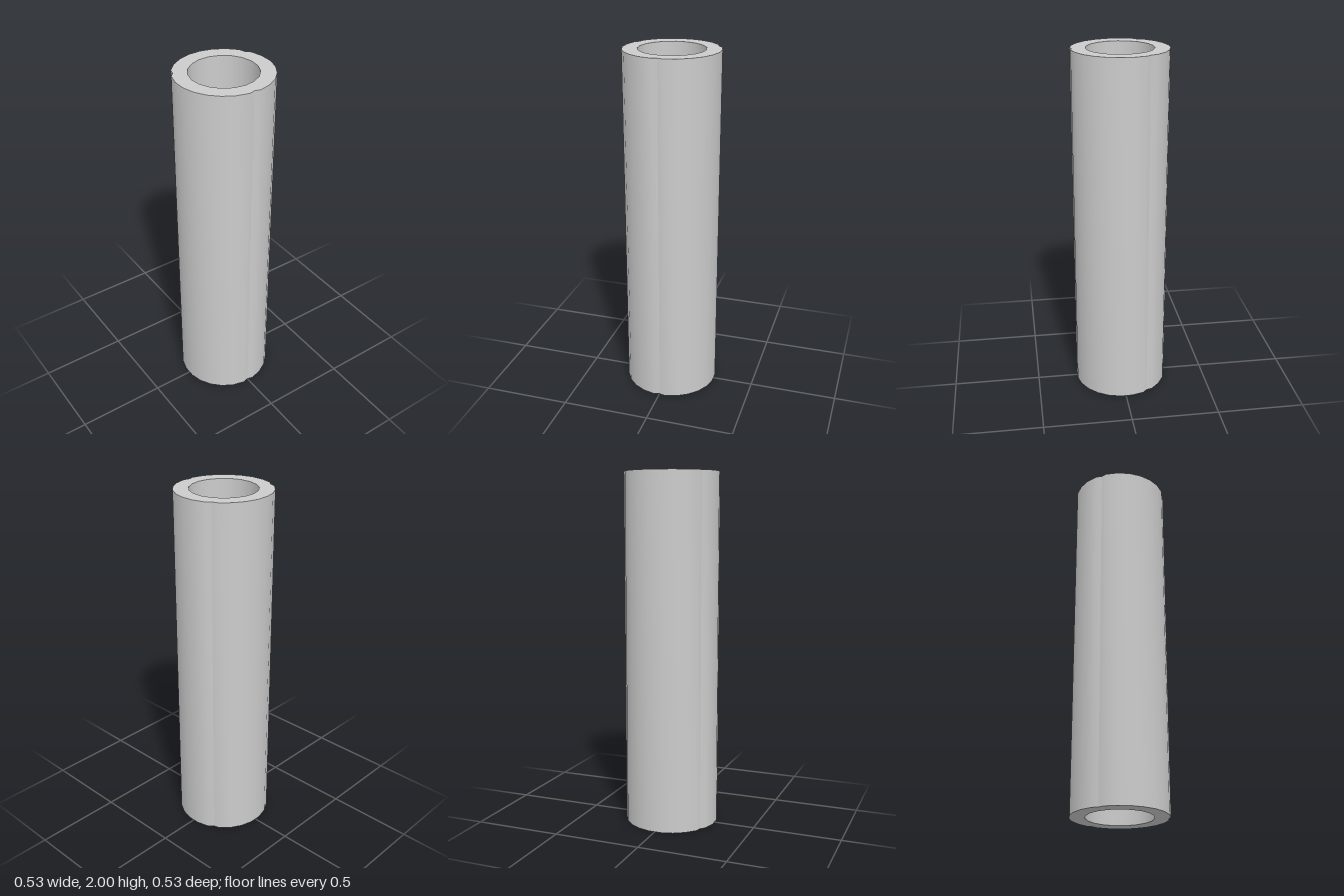
import * as THREE from 'three';
import { toCreasedNormals } from 'three/addons/utils/BufferGeometryUtils.js';

const HEIGHT = 2;
const OUTER = 0.267, INNER = 0.184;
const GROOVE = 0.033, GROOVE_CENTRE = 0.265;
const EDGE = THREE.MathUtils.degToRad(7.1); // half-angle of a groove mouth

// Point at an angle measured from the front (+z); shape y is -z
const polar = (r, a) => new THREE.Vector2(r * Math.sin(a), -r * Math.cos(a));

export function createModel() {
  const group = new THREE.Group();
  group.name = 'groovedTube';

  // Outline: three round grooves joined by seven-sided arcs
  const outline = [];
  for (let k = 0; k < 3; k++) {
    const mid = (k * Math.PI * 2) / 3;
    const centre = polar(GROOVE_CENTRE, mid);
    outline.push(polar(OUTER, mid - EDGE));
    for (let i = 1; i < 6; i++) {
      const t = mid + Math.PI / 2 + Math.PI - (i / 6) * Math.PI;
      // half circle dipping towards the axis
      outline.push(centre.clone().add(polar(GROOVE, mid + Math.PI + (mid + Math.PI - t))));
    }
    const step = ((Math.PI * 2) / 3 - 2 * EDGE) / 7;
    for (let i = 0; i < 7; i++) outline.push(polar(OUTER, mid + EDGE + i * step));
  }
  const shape = new THREE.Shape(outline);

  // 19-sided bore with one corner at the front
  const bore = [];
  for (let i = 0; i < 19; i++) bore.push(polar(INNER, (-i * Math.PI * 2) / 19));
  shape.holes.push(new THREE.Path(bore));

  const extruded = new THREE.ExtrudeGeometry(shape, { depth: HEIGHT, bevelEnabled: false });
  extruded.rotateX(-Math.PI / 2);
  extruded.translate(0, 0, -0.001);

  const tube = new THREE.Mesh(
    toCreasedNormals(extruded, 0.7),
    new THREE.MeshStandardMaterial({ color: 0xcccccc })
  );
  tube.name = 'tube';
  group.add(tube);
  return group;
}
